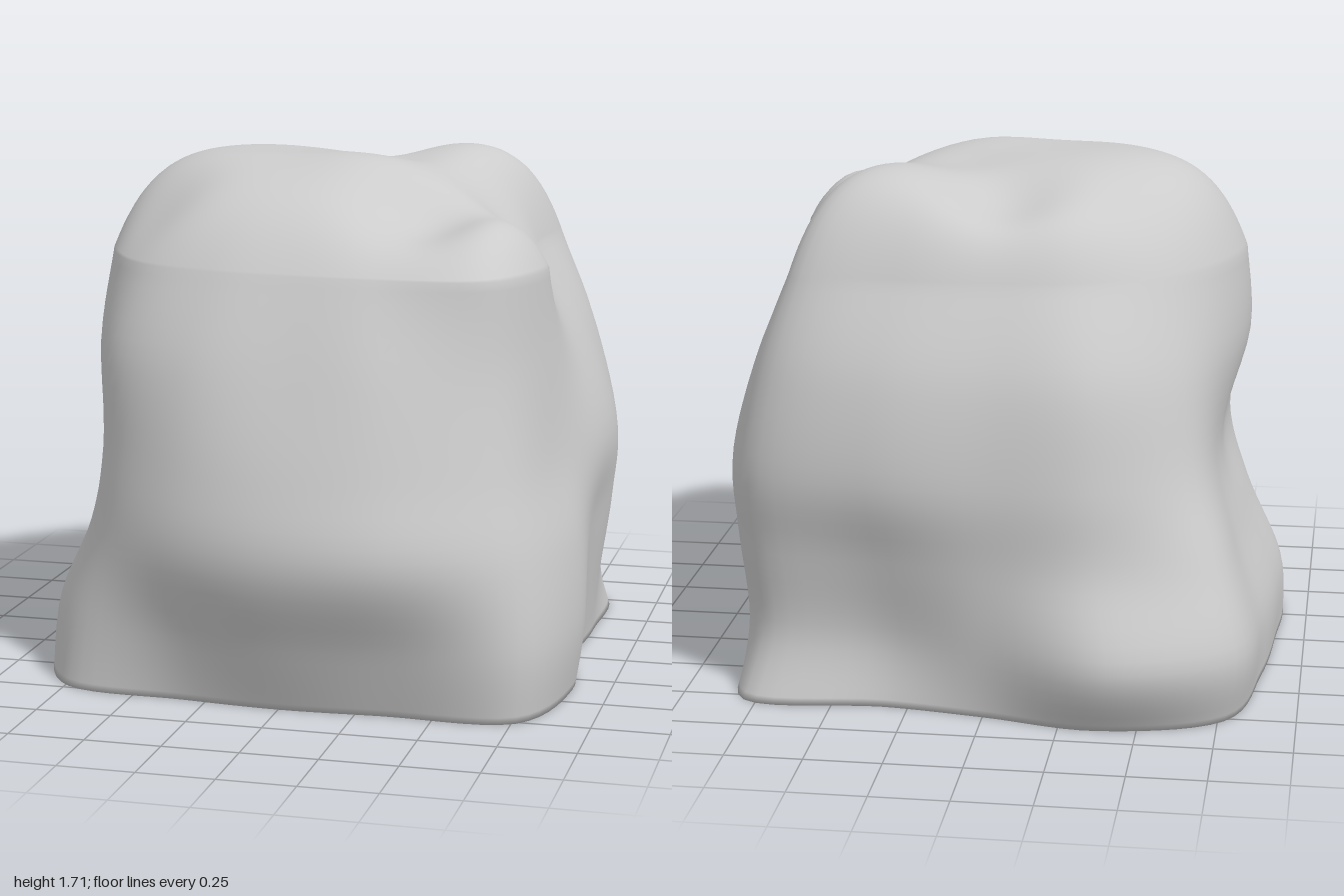
import * as THREE from 'three';

const AROUND = 112, UP = 30, CROWN = 30, SHOULDER = 1.38;

// Boulder cross-sections: height, then radii every 22.5 degrees from +x towards +z
const sections = [
  [0, [.82, .95, 1.08, .86, .81, .85, 1.04, .98, .9, .94, 1.09, .98, .84, .86, 1.12, .9]],
  [.22, [.85, .98, 1.1, .94, .9, .9, 1, .96, .9, .94, 1.14, 1.08, .86, .83, 1.04, .92]],
  [.5, [.88, .96, 1.07, 1.05, 1, .96, .93, .84, .79, .84, 1.04, .97, .87, .89, 1.06, .96]],
  [.77, [.91, .9, 1, .99, .945, .92, .89, .77, .71, .77, .93, .94, .89, .96, 1.08, .97]],
  [1.1, [.8, .86, .93, .88, .81, .83, .86, .81, .79, .8, .85, .88, .84, .91, 1.01, .86]],
  [SHOULDER, [.66, .83, .9, .74, .67, .69, .75, .76, .775, .76, .74, .73, .71, .77, .9, .69]],
];

// Swellings and hollows of the crown: x, z, height, width
const lumps = [
  [-.35, -.1, .03, .25], [.13, .12, .03, .16], [.38, -.4, .035, .2],
  [-.02, -.5, -.1, .15], [.17, -.16, -.03, .12], [.72, 0, -.2, .2],
  [.42, .39, -.12, .17], [.64, .44, .06, .14], [-.62, .36, -.1, .15],
  [-.5, -.5, -.07, .18],
];

function crownHeight(x, z) {
  let y = 1.685 - .42 * Math.max(0, z - .1) ** 1.5;
  for (const [lx, lz, h, w] of lumps) {
    y += h * Math.exp(-((x - lx) ** 2 + (z - lz) ** 2) / (2 * w * w));
  }
  return y;
}

// Smooth closed outline at height fraction t
function outline(meridians, t) {
  const pts = meridians.map((curve, k) => {
    const p = curve.getPoint(t), a = k * Math.PI / 8;
    return new THREE.Vector3(p.x * Math.cos(a), p.y, p.x * Math.sin(a));
  });
  const loop = new THREE.CatmullRomCurve3(pts, true);
  return Array.from({ length: AROUND }, (_, j) => loop.getPoint(j / AROUND));
}

function boulderGeometry() {
  const meridians = sections[0][1].map((_, k) =>
    new THREE.SplineCurve(sections.map(([y, r]) => new THREE.Vector2(r[k], y))));

  // Sides
  const rings = [];
  for (let i = 0; i <= UP; i++) rings.push(outline(meridians, i / UP));

  // Crown: the shoulder outline shrinks inwards under the height field
  const rim = rings[UP];
  for (let i = 1; i < CROWN; i++) {
    const s = 1 - (i / CROWN) ** 1.4;
    const lift = 1 - s ** 7;
    rings.push(rim.map((p) => {
      const x = p.x * s, z = p.z * s;
      return new THREE.Vector3(x, SHOULDER + (crownHeight(x, z) - SHOULDER) * lift, z);
    }));
  }

  const points = rings.flat();
  const top = points.push(new THREE.Vector3(0, crownHeight(0, 0), 0)) - 1;
  const bottom = points.push(new THREE.Vector3(0, 0, 0)) - 1;
  const last = (rings.length - 1) * AROUND;
  const index = [];
  for (let j = 0; j < AROUND; j++) {
    const n = (j + 1) % AROUND;
    for (let r = 0; r < last; r += AROUND) {
      const a = r + j, b = r + n, c = a + AROUND, d = b + AROUND;
      index.push(a, c, b, b, c, d);
    }
    index.push(last + j, top, last + n, j, n, bottom);
  }

  const geometry = new THREE.BufferGeometry().setFromPoints(points);
  geometry.setIndex(index);
  geometry.computeVertexNormals();
  return geometry;
}

export function createModel() {
  const group = new THREE.Group();
  group.name = 'rock';
  const boulder = new THREE.Mesh(
    boulderGeometry(),
    new THREE.MeshStandardMaterial({ color: 0xcccccc }),
  );
  boulder.name = 'boulder';
  group.add(boulder);
  return group;
}
